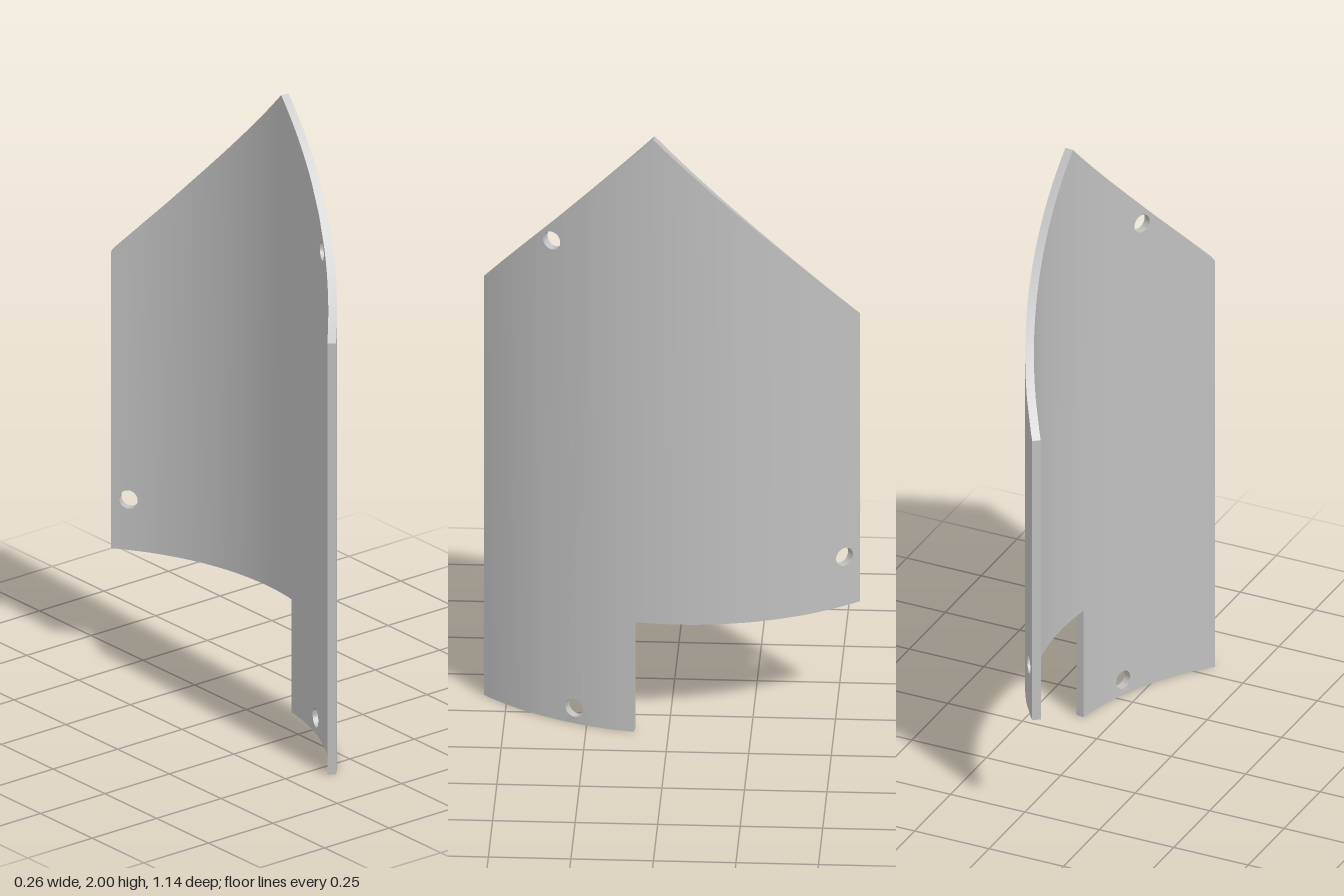
import * as THREE from 'three';
import { toCreasedNormals } from 'three/addons/utils/BufferGeometryUtils.js';

// Flat sheet pattern in (s, y): s is arc length on the outer face, positive to the front.
const OUTER = 0.87, INNER = 0.8435, CX = -0.74, CZ = -0.03;
const BACK = -0.5846, FRONT = 0.6635, APEX = 0.0752, NOTCH = 0.136, NOTCH_Y = 0.37;
const HOLE_R = 0.03, HOLE_HALF = 0.036;
const HOLES = [[0.4024, 1.61], [0.325, 0.052], [-0.528, 0.535]];

const topY = (s) => 2 - Math.abs(s - APEX); // 45 degree cuts to the point

// Roll a pattern point onto a cylinder of radius r
function roll(p, r) {
  const a = p.x / OUTER;
  return [CX + r * Math.cos(a), p.y, CZ + r * Math.sin(a)];
}

// Column boundaries: even steps, leaving one undivided column around each hole
function columnStops() {
  const fixed = [BACK, FRONT, APEX, NOTCH];
  for (const [s] of HOLES) fixed.push(s - HOLE_HALF, s + HOLE_HALF);
  fixed.sort((a, b) => a - b);
  const stops = [fixed[0]];
  for (let i = 1; i < fixed.length; i++) {
    const a = fixed[i - 1], b = fixed[i];
    const hasHole = HOLES.some(([s]) => s > a && s < b);
    const n = hasHole ? 1 : Math.ceil((b - a) / 0.03);
    for (let k = 1; k <= n; k++) stops.push(a + (b - a) * k / n);
  }
  return stops;
}

function circle([s, y]) {
  const pts = [];
  for (let i = 0; i < 28; i++) {
    const a = -i / 28 * Math.PI * 2;
    pts.push(new THREE.Vector2(s + HOLE_R * Math.cos(a), y + HOLE_R * Math.sin(a)));
  }
  return pts;
}

function curvedPlateGeometry() {
  const pos = [];
  const tri = (a, b, c) => pos.push(...a, ...b, ...c);
  const V = (s, y) => new THREE.Vector2(s, y);

  // Rim joining the inner and outer faces along a closed loop
  const rim = (loop) => loop.forEach((p, i) => {
    const q = loop[(i + 1) % loop.length];
    const a = roll(p, INNER), b = roll(p, OUTER), c = roll(q, OUTER), d = roll(q, INNER);
    tri(a, b, c);
    tri(a, c, d);
  });

  const stops = columnStops();
  const bottom = [], top = [];

  // Inner and outer faces, column by column
  for (let i = 0; i + 1 < stops.length; i++) {
    const a = stops[i], b = stops[i + 1];
    const low = (a + b) / 2 > NOTCH ? 0 : NOTCH_Y;
    const outline = [V(a, low), V(b, low), V(b, topY(b)), V(a, topY(a))];
    const holes = HOLES.filter(([s]) => s > a && s < b).map(circle);
    const pts = outline.concat(...holes);
    for (const [i0, i1, i2] of THREE.ShapeUtils.triangulateShape(outline, holes)) {
      let p = pts[i0], q = pts[i1], r = pts[i2];
      if (THREE.ShapeUtils.area([p, q, r]) < 0) [q, r] = [r, q];
      tri(roll(p, INNER), roll(q, INNER), roll(r, INNER));
      tri(roll(p, OUTER), roll(r, OUTER), roll(q, OUTER));
    }
    holes.forEach(rim);
    const last = bottom[bottom.length - 1];
    if (!last || last.y !== low) bottom.push(V(a, low));
    bottom.push(V(b, low));
  }
  for (const s of stops) top.unshift(V(s, topY(s)));
  rim([...bottom, ...top]);

  const geo = new THREE.BufferGeometry();
  geo.setAttribute('position', new THREE.Float32BufferAttribute(pos, 3));
  return toCreasedNormals(geo, 0.5);
}

export function createModel() {
  const greyMetal = new THREE.MeshStandardMaterial({ color: 0xc0c0c0 });
  greyMetal.name = 'greyMetal';

  const plate = new THREE.Mesh(curvedPlateGeometry(), greyMetal);
  plate.name = 'curvedPlate';

  const group = new THREE.Group();
  group.name = 'curvedGuardPlate';
  group.add(plate);
  return group;
}
